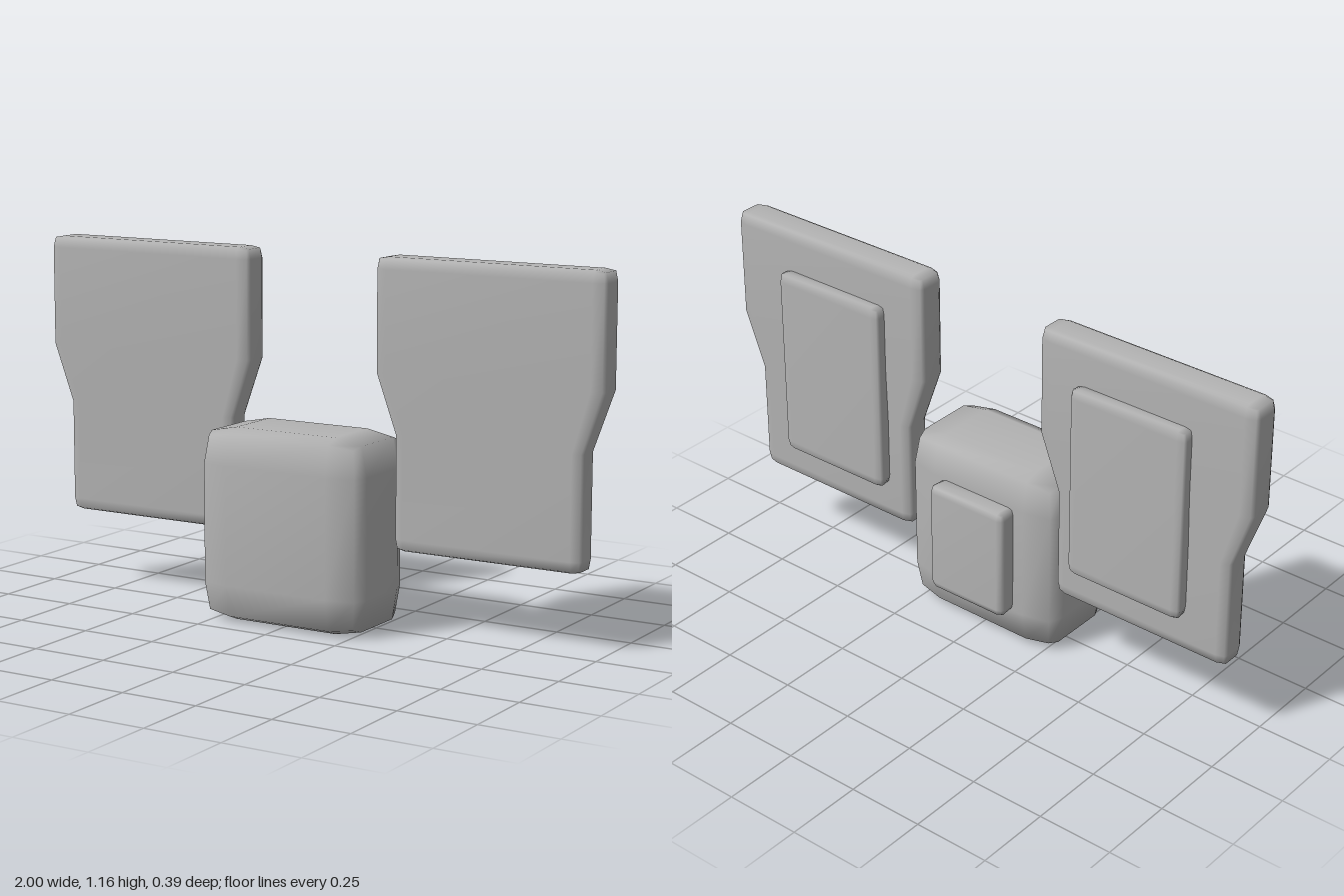
import * as THREE from 'three';
import { mergeVertices } from 'three/addons/utils/BufferGeometryUtils.js';

const grey = new THREE.MeshStandardMaterial({ color: 0xb4b4b4 });
grey.name = 'grey';

// Smooth box on a grid of given lines; its edges and corners are drawn in by pull
function softBox(name, xs, ys, zs, pull, reshape) {
  const lines = [xs, ys, zs];
  const segs = lines.map((l) => l.length - 1);
  let geo = new THREE.BoxGeometry(1, 1, 1, ...segs);
  geo.deleteAttribute('uv');
  geo.deleteAttribute('normal');
  geo = mergeVertices(geo);
  const pos = geo.attributes.position;
  for (let i = 0; i < pos.count; i++) {
    const id = lines.map((l, a) => Math.round((pos.getComponent(i, a) + 0.5) * segs[a]));
    const ends = id.map((n, a) => (n === 0 ? 1 : n === segs[a] ? -1 : 0));
    const count = ends.filter((e) => e !== 0).length;
    const k = count === 3 ? 1.6 : count === 2 ? 1 : 0;
    const p = new THREE.Vector3(...id.map((n, a) => lines[a][n] + ends[a] * pull[a] * k));
    if (reshape) reshape(p);
    pos.setXYZ(i, p.x, p.y, p.z);
  }
  geo.computeVertexNormals();
  const mesh = new THREE.Mesh(geo, grey);
  mesh.name = name;
  return mesh;
}

// Panel outline: wide above, narrow below, slightly thinner at the bottom
function waist(p) {
  const t = THREE.MathUtils.clamp((p.y - 0.61) / 0.19, 0, 1);
  p.x *= THREE.MathUtils.lerp(0.825, 1, t);
  p.z = -0.065 + (p.z + 0.065) * THREE.MathUtils.lerp(0.88, 1, t);
}

export function createModel() {
  const group = new THREE.Group();
  group.name = 'model';

  // Rounded central body
  group.add(softBox('body', [-0.29, -0.18, 0.18, 0.29], [0, 0.12, 0.5, 0.615],
    [-0.13, -0.06, 0.13, 0.195], [0.018, 0.018, 0.02]));

  // Raised pad on the back of the body
  group.add(softBox('bodyBackPad', [-0.147, -0.125, 0.125, 0.147], [0.12, 0.145, 0.475, 0.5],
    [-0.192, -0.175, -0.1], [0.006, 0.006, 0.006]));

  // Side panels, each with a raised pad on the back
  for (const side of [-1, 1]) {
    const wing = new THREE.Group();
    wing.name = side > 0 ? 'leftPanel' : 'rightPanel';
    wing.position.x = side * 0.615;
    wing.add(softBox('panel', [-0.385, -0.345, 0.345, 0.385],
      [0.247, 0.285, 0.61, 0.8, 1.12, 1.157],
      [-0.12, -0.098, -0.032, -0.01], [0.007, 0.006, 0.009], waist));
    wing.add(softBox('panelBackPad', [-0.208, -0.18, 0.18, 0.208], [0.378, 0.41, 0.99, 1.022],
      [-0.16, -0.147, -0.09], [0.006, 0.006, 0.005]));
    // Pads sit slightly outside or inside by less than the grid, so keep them centred
    wing.children[1].position.x = -side * 0.032;
    group.add(wing);
  }
  return group;
}
